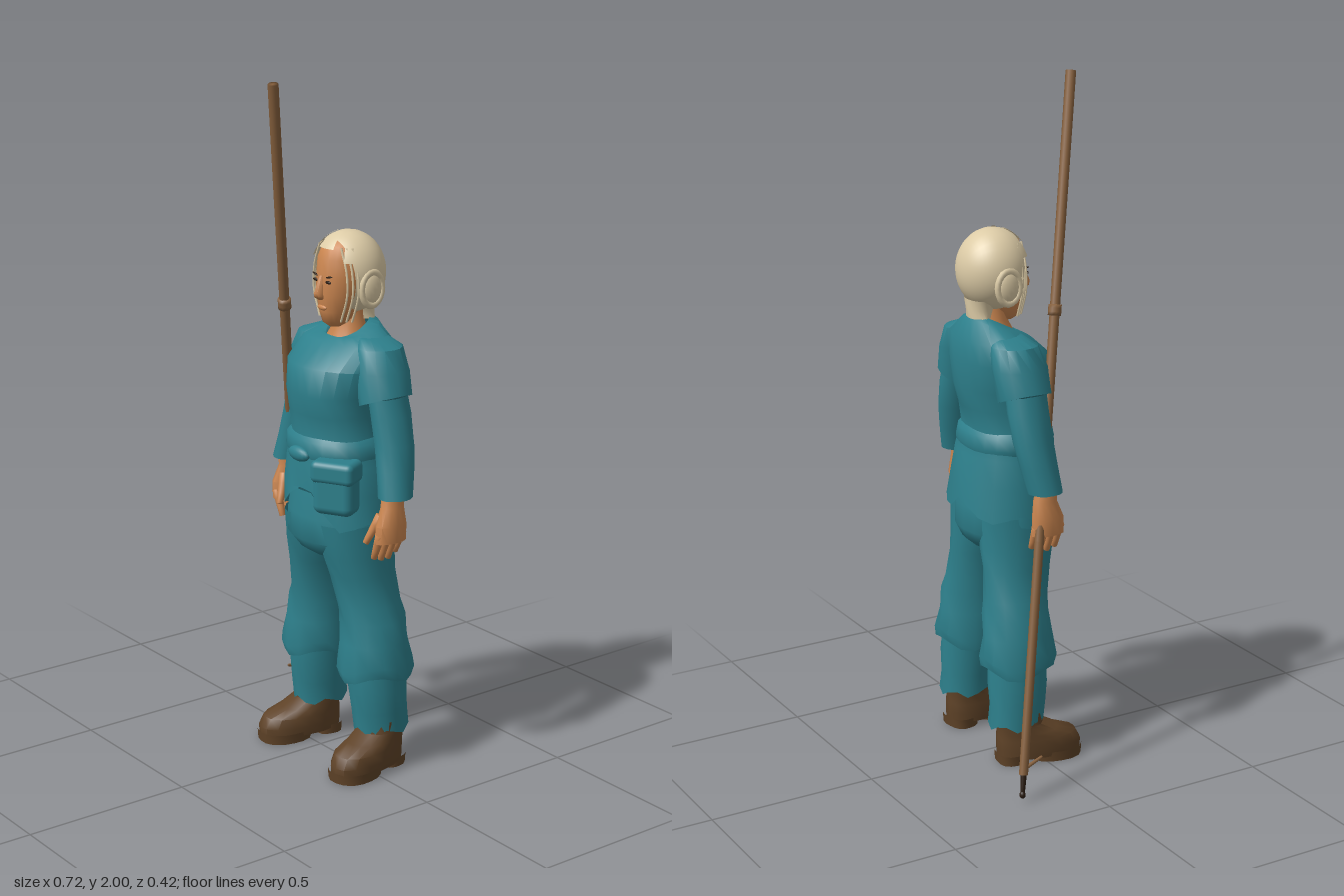
import * as THREE from 'three';
import { mergeVertices, toCreasedNormals } from 'three/addons/utils/BufferGeometryUtils.js';
import { RoundedBoxGeometry } from 'three/addons/geometries/RoundedBoxGeometry.js';

const CX = 0.06; // the body's own middle plane

function material(name, color, side = THREE.FrontSide) {
  const m = new THREE.MeshStandardMaterial({ color, side });
  m.name = name;
  return m;
}

// Skin over elliptical rings listed from top to bottom: [y, x, z, radiusX, radiusZ, tilt]
function loft(rings, { n = 16, wobble = 0, power = 2, capTop = false, capBottom = false, shift, crease = 0.8 } = {}) {
  const pos = [], idx = [];
  rings.forEach(([y, x, z, rx, rz, tilt = 0], i) => {
    for (let k = 0; k < n; k++) {
      const a = (k / n) * Math.PI * 2, c = Math.cos(a), s = Math.sin(a);
      const r = (1 + wobble * Math.sin(a * 5 + i * 2)) /
        Math.pow(Math.abs(c) ** power + Math.abs(s) ** power, 1 / power);
      const dy = shift ? shift(i, a) : 0;
      pos.push(x + rx * c * r, y + tilt * s + dy, z + rz * s * r);
    }
  });
  for (let i = 0; i < rings.length - 1; i++) {
    for (let k = 0; k < n; k++) {
      const a = i * n + k, b = i * n + (k + 1) % n;
      idx.push(a, b, a + n, b, b + n, a + n);
    }
  }
  const cap = (i, top) => {
    const [y, x, z] = rings[i], c = pos.length / 3;
    pos.push(x, y, z);
    for (let k = 0; k < n; k++) {
      const a = i * n + k, b = i * n + (k + 1) % n;
      idx.push(c, top ? b : a, top ? a : b);
    }
  };
  if (capTop) cap(0, true);
  if (capBottom) cap(rings.length - 1, false);
  const g = new THREE.BufferGeometry();
  g.setAttribute('position', new THREE.Float32BufferAttribute(pos, 3));
  g.setIndex(idx);
  return toCreasedNormals(g, crease);
}

export function createModel() {
  const root = new THREE.Group();
  root.name = 'staffBearer';
  const cloth = material('tealCloth', 0x2d7f8b, THREE.DoubleSide);
  const skin = material('skin', 0xcb8650);
  const hair = material('paleHair', 0xdccba6, THREE.DoubleSide);
  const leather = material('bootLeather', 0x5e4227);
  const wood = material('wood', 0x86603d);
  const dark = material('dark', 0x2a1c12);

  const body = new THREE.Group();
  body.name = 'body';
  body.position.x = CX;
  root.add(body);

  const add = (name, geo, mat, p = [0, 0, 0], parent = body) => {
    const m = new THREE.Mesh(geo, mat);
    m.name = name;
    m.position.set(...p);
    parent.add(m);
    return m;
  };
  const ball = (name, mat, p, s) => {
    const m = add(name, new THREE.SphereGeometry(1, 16, 10), mat, p);
    m.scale.set(...s);
    return m;
  };
  // Round rod between two points
  const rod = (name, a, b, ra, rb, mat, parent = body) => {
    const A = new THREE.Vector3(...a), B = new THREE.Vector3(...b), d = B.clone().sub(A);
    let g = new THREE.CylinderGeometry(rb, ra, d.length(), 10, 3);
    g.deleteAttribute('normal');
    g.deleteAttribute('uv');
    g = mergeVertices(g);
    g.computeVertexNormals();
    const m = add(name, g, mat, A.clone().add(B).multiplyScalar(0.5).toArray(), parent);
    m.quaternion.setFromUnitVectors(new THREE.Vector3(0, 1, 0), d.normalize());
    return m;
  };

  // Tunic: scooped collar, full chest, flared hem with an opening in front and a slit behind
  const hemShift = (i, a) => {
    if (i < 9) return 0;
    const front = Math.max(0, Math.sin(a) - 0.8) * 0.5;
    const back = Math.max(0, -Math.sin(a) - 0.95) * 0.8;
    return front + back + 0.012 * Math.sin(a * 6);
  };
  add('tunic', loft([
    [1.302, 0, -0.05, 0.062, 0.058, -0.03], [1.298, -0.002, -0.06, 0.1, 0.068, -0.022],
    [1.262, -0.004, -0.06, 0.165, 0.095], [1.2, -0.004, -0.028, 0.168, 0.135],
    [1.12, -0.004, -0.02, 0.15, 0.14], [1.06, -0.006, -0.018, 0.142, 0.128],
    [0.99, -0.006, -0.016, 0.145, 0.115], [0.92, 0, -0.018, 0.163, 0.13],
    [0.84, 0, -0.022, 0.175, 0.14], [0.75, 0.002, -0.025, 0.183, 0.146],
  ], { n: 24, wobble: 0.012, power: 2.2, shift: hemShift }), cloth);
  add('sash', loft([
    [1.0, -0.006, -0.016, 0.143, 0.113], [0.985, -0.006, -0.016, 0.156, 0.126],
    [0.95, -0.003, -0.016, 0.162, 0.131], [0.93, -0.003, -0.016, 0.155, 0.124],
  ], { n: 24, power: 2.2 }), cloth);
  ball('sashKnot', cloth, [-0.01, 0.945, 0.115], [0.045, 0.022, 0.018]);
  const pouch = new THREE.Group();
  pouch.name = 'beltPouch';
  pouch.position.set(0.122, 0.88, 0.082);
  pouch.rotation.y = 0.5;
  body.add(pouch);
  add('pouchBag', new RoundedBoxGeometry(0.125, 0.15, 0.08, 3, 0.025), cloth, [0, -0.01, 0], pouch);
  add('pouchFlap', new RoundedBoxGeometry(0.132, 0.065, 0.09, 3, 0.018), cloth, [0, 0.04, 0], pouch);

  // Seat of the trousers
  add('trouserSeat', loft([
    [0.86, 0, -0.02, 0.155, 0.115], [0.76, 0, -0.02, 0.172, 0.133], [0.69, 0, -0.02, 0.172, 0.135],
    [0.655, 0, -0.025, 0.13, 0.115], [0.63, 0, -0.03, 0.06, 0.08],
  ], { n: 20, capBottom: true }), cloth);

  for (const s of [-1, 1]) {
    const side = s < 0 ? 'right' : 'left';
    const mir = rings => rings.map(([y, x, ...r]) => [y, x * s, ...r]);

    // Trouser leg with a baggy overhang below the knee
    add(side + 'Thigh', loft(mir([
      [0.75, 0.082, -0.02, 0.088, 0.12], [0.65, 0.087, -0.025, 0.09, 0.112], [0.59, 0.098, -0.035, 0.08, 0.103],
      [0.5, 0.113, -0.045, 0.08, 0.098], [0.455, 0.123, -0.05, 0.09, 0.1], [0.39, 0.13, -0.05, 0.093, 0.104],
      [0.32, 0.135, -0.05, 0.107, 0.117], [0.29, 0.136, -0.05, 0.102, 0.11], [0.31, 0.138, -0.054, 0.078, 0.085],
    ]), { wobble: 0.025, shift: (i, a) => (i === 6 || i === 7 ? 0.014 * Math.sin(a * 3) : 0) }), cloth);
    add(side + 'Shin', loft(mir([
      [0.34, 0.137, -0.054, 0.078, 0.085], [0.25, 0.142, -0.055, 0.08, 0.09],
      [0.18, 0.146, -0.06, 0.075, 0.085], [0.12, 0.147, -0.065, 0.072, 0.085],
    ]), { wobble: 0.025, shift: (i, a) => (i === 3 ? 0.012 * Math.sin(a * 5) : 0) }), cloth);

    // Boot turned slightly outward
    const boot = new THREE.Group();
    boot.name = side + 'Boot';
    boot.position.set(s * 0.165, 0, 0.002);
    boot.rotation.y = s * 0.16;
    body.add(boot);
    add('bootUpper', loft([
      [0.155, 0, -0.064, 0.062, 0.066], [0.12, 0, -0.06, 0.06, 0.068], [0.095, 0, -0.035, 0.062, 0.092],
      [0.075, 0, -0.008, 0.065, 0.122], [0.045, 0, 0, 0.067, 0.13], [0.018, 0, 0, 0.064, 0.128],
    ], { power: 2.4, capTop: true, capBottom: true }), leather, [0, 0, 0], boot);
    add('bootSole', loft([[0.03, 0, 0.05, 0.067, 0.082], [0, 0, 0.05, 0.065, 0.08]],
      { power: 2.4, capBottom: true }), leather, [0, 0, 0], boot);
    add('bootHeel', loft([[0.03, 0, -0.088, 0.054, 0.044], [0, 0, -0.088, 0.052, 0.042]],
      { power: 3, capBottom: true }), leather, [0, 0, 0], boot);

    // Short over-sleeve and long under-sleeve
    add(side + 'OverSleeve', loft(mir([
      [1.283, 0.1, -0.065, 0.035, 0.045], [1.262, 0.13, -0.06, 0.066, 0.07], [1.2, 0.152, -0.055, 0.072, 0.082],
      [1.115, 0.175, -0.05, 0.066, 0.08], [1.13, 0.18, -0.05, 0.048, 0.06],
    ]), { wobble: 0.02, capTop: true, shift: (i, a) => (i === 3 ? 0.025 * s * Math.cos(a) : 0) }), cloth);
    add(side + 'Sleeve', loft(mir([
      [1.16, 0.175, -0.05, 0.05, 0.06], [1.08, 0.196, -0.052, 0.05, 0.062], [1.0, 0.217, -0.05, 0.049, 0.06],
      [0.93, 0.233, -0.04, 0.049, 0.056], [0.855, 0.25, -0.028, 0.046, 0.052], [0.87, 0.25, -0.026, 0.03, 0.036],
    ]), { wobble: 0.02 }), cloth);

    // Hand: palm, four fingers and thumb
    const hz = s < 0 ? -0.015 : 0;
    add(side + 'Palm', loft(mir([
      [0.89, 0.25, -0.02, 0.026, 0.032], [0.83, 0.252, -0.015 + hz, 0.027, 0.036],
      [0.78, 0.256, -0.008 + hz, 0.031, 0.05], [0.73, 0.255, -0.008 + hz, 0.026, 0.052],
    ]), { n: 12, capBottom: true }), skin);
    for (let f = 0; f < 4; f++) {
      const z = hz + 0.03 - f * 0.025, low = 0.672 + (f === 3 ? 0.015 : 0) + (f === 0 ? 0.008 : 0);
      rod(side + 'Finger', [s * 0.228, low, z], [s * 0.257, 0.755, z], 0.009, 0.0145, skin);
    }
    rod(side + 'Thumb', [s * 0.215, 0.725, hz + 0.05], [s * 0.24, 0.805, hz + 0.015], 0.009, 0.016, skin);

    // Coiled bun over the ear
    ball(side + 'HairBun', hair, [s * 0.098, 1.42, -0.058], [0.016, 0.046, 0.034]);
    const coil = add(side + 'HairCoil', new THREE.TorusGeometry(0.036, 0.009, 8, 20), hair, [s * 0.1, 1.42, -0.058]);
    coil.rotation.y = Math.PI / 2;
    coil.scale.y = 1.3;
    // Loose strands beside the face
    for (let k = 0; k < 3; k++) {
      const u = 0.074 + k * 0.01, z = 0.012 - k * 0.012;
      const path = new THREE.CatmullRomCurve3([[u - 0.025, 1.535], [u, 1.47], [u + 0.003, 1.4], [u - 0.025, 1.325]]
        .map(([x, y]) => new THREE.Vector3(s * x, y, z)));
      add(side + 'HairStrand', new THREE.TubeGeometry(path, 10, 0.0035, 5), hair);
    }

    // Eyes and brows
    ball(side + 'Eye', dark, [s * 0.029, 1.438, 0.041], [0.012, 0.0045, 0.004]);
    const brow = ball(side + 'Brow', dark, [s * 0.031, 1.453, 0.04], [0.015, 0.0025, 0.0035]);
    brow.rotation.z = s * 0.2;
  }

  // Neck, face and nose
  add('neck', loft([[1.38, 0, -0.055, 0.04, 0.045], [1.31, 0, -0.058, 0.042, 0.045], [1.27, 0, -0.05, 0.064, 0.058],
    [1.24, 0, -0.045, 0.07, 0.06]]), skin);
  add('face', loft([
    [1.56, 0, -0.05, 0.02, 0.02], [1.535, 0, -0.05, 0.063, 0.075], [1.5, 0, -0.045, 0.074, 0.085],
    [1.45, 0, -0.04, 0.074, 0.085], [1.4, 0, -0.03, 0.067, 0.078], [1.35, 0, -0.022, 0.052, 0.063],
    [1.318, 0, -0.012, 0.034, 0.045], [1.303, 0, -0.01, 0.015, 0.022],
  ], { n: 20, capTop: true, capBottom: true, crease: 1.2 }), skin);
  add('nose', loft([[1.455, 0, 0.04, 0.006, 0.008], [1.405, 0, 0.048, 0.011, 0.022], [1.395, 0, 0.048, 0.014, 0.02],
    [1.385, 0, 0.042, 0.008, 0.01]], { n: 8, capBottom: true, crease: 1.2 }), skin);
  ball('lips', skin, [0, 1.362, 0.04], [0.02, 0.008, 0.007]);

  // Hair: round cap open toward the face, with fringe flaps and a nape tuft
  const capGeo = new THREE.SphereGeometry(0.106, 28, 18, 0, Math.PI * 2, 0, Math.PI * 0.65);
  capGeo.rotateX(-Math.PI / 2 + 0.1);
  const cap = add('hairCap', capGeo, hair, [0, 1.455, -0.053]);
  cap.scale.y = 1.12;
  for (const [mid, half, end] of [[90, 22, 52], [35, 10, 70], [145, 10, 70]]) {
    const r = THREE.MathUtils.degToRad;
    const flap = add('hairFringe', new THREE.SphereGeometry(0.108, 8, 8, r(mid - half), r(half * 2), r(15), r(end - 15)),
      hair, [0, 1.455, -0.053]);
    flap.scale.y = 1.12;
  }
  add('napeTuft', loft([[1.375, 0, -0.09, 0.06, 0.045], [1.345, 0, -0.095, 0.045, 0.038],
    [1.32, 0, -0.1, 0.048, 0.03]], { capBottom: true, wobble: 0.03 }), hair);

  // Long slanted staff with ring, iron tip and spur
  const top = new THREE.Vector3(0.045, 1.998, 0.195), foot = new THREE.Vector3(-0.342, 0.08, -0.19);
  const at = t => top.clone().lerp(foot, t).toArray();
  rod('staff', foot.toArray(), top.toArray(), 0.013, 0.015, wood, root);
  rod('staffRing', at(0.346), at(0.33), 0.019, 0.019, wood, root);
  rod('staffTip', [-0.354, 0.025, -0.2], at(0.99), 0.006, 0.01, dark, root);
  ball('staffPoint', dark, [-0.354 - CX, 0.025, -0.2], [0.009, 0.011, 0.009]);
  rod('staffSpur', [-0.33, 0.115, -0.122], [-0.338, 0.095, -0.185], 0.004, 0.006, wood, root);

  return root;
}
